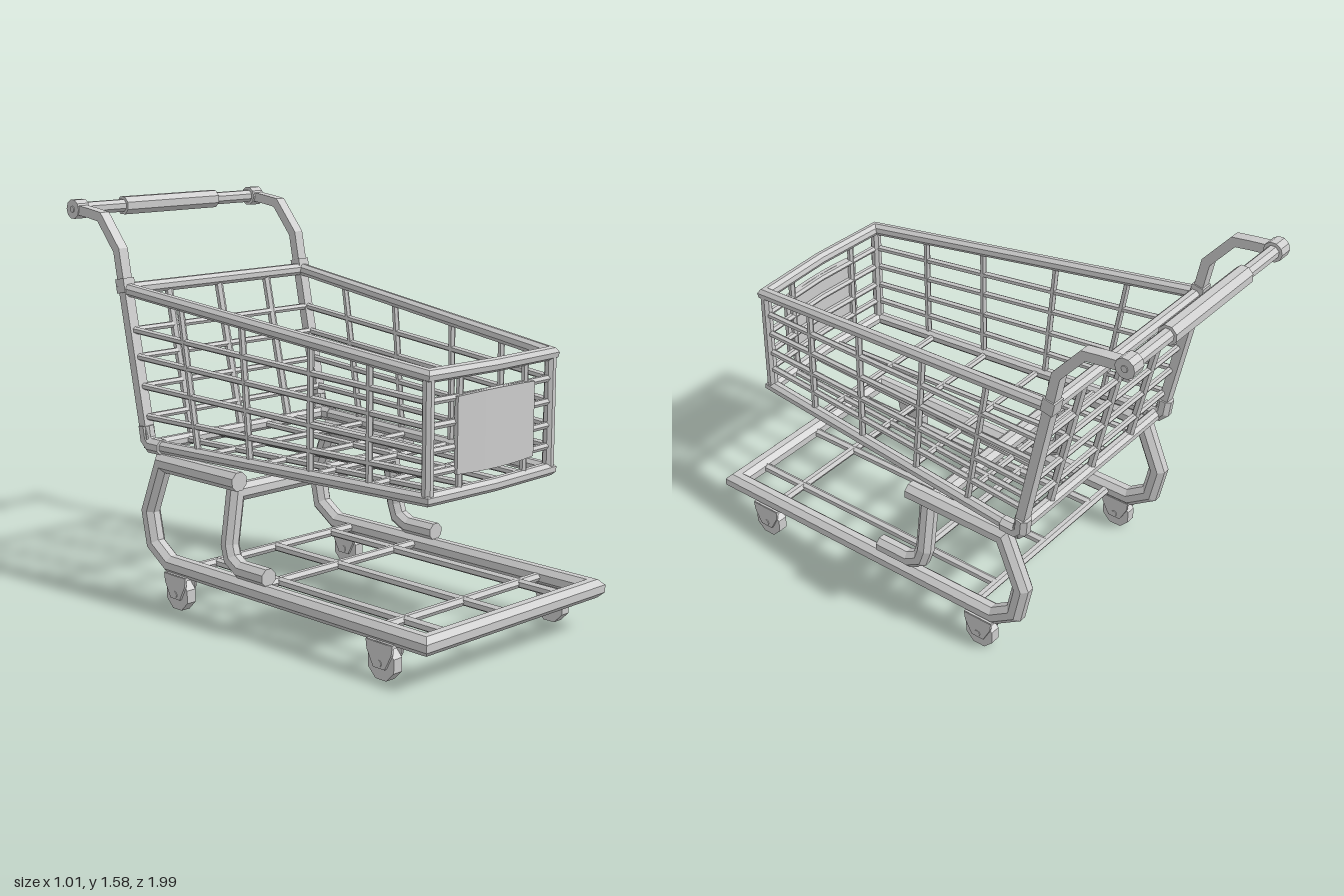
import * as THREE from 'three';

const grey = new THREE.MeshStandardMaterial({ color: 0xcccccc, flatShading: true });
const V = (p) => new THREE.Vector3(...p);
const mirror = (p) => [-p[0], p[1], p[2]];
const lerp = (a, b, t) => a.map((v, i) => v + (b[i] - v) * t);

// Faceted bar swept along a polyline with mitred corners
function sweep(points, rx, ry = rx, sides = 8) {
  const P = points.map(V);
  const dirs = P.slice(1).map((p, i) => p.clone().sub(P[i]).normalize());
  const d0 = dirs[0];
  const ref = Math.abs(d0.x) > 0.9 ? new THREE.Vector3(0, 1, 0) : new THREE.Vector3(1, 0, 0);
  const u = ref.addScaledVector(d0, -ref.dot(d0)).normalize();
  const v = d0.clone().cross(u);
  let ring = [];
  for (let j = 0; j < sides; j++) {
    const a = ((j + 0.5) / sides) * Math.PI * 2, k = 1 / Math.cos(Math.PI / sides);
    ring.push(P[0].clone().addScaledVector(u, Math.cos(a) * rx * k).addScaledVector(v, Math.sin(a) * ry * k));
  }
  const pos = [], index = [];
  const add = (r) => r.forEach((p) => pos.push(p.x, p.y, p.z));
  add(ring);
  for (let i = 1; i < P.length; i++) {
    const d = dirs[i - 1];
    const t = d.clone().add(dirs[i] || d).normalize();
    ring = ring.map((p) => p.clone().addScaledVector(d, P[i].clone().sub(p).dot(t) / d.dot(t)));
    add(ring);
    for (let j = 0; j < sides; j++) {
      const a = (i - 1) * sides + j, b = (i - 1) * sides + ((j + 1) % sides);
      index.push(a, b, b + sides, a, b + sides, a + sides);
    }
  }
  const last = (P.length - 1) * sides;
  for (let j = 1; j < sides - 1; j++) {
    index.push(0, j + 1, j, last, last + j, last + j + 1);
  }
  const g = new THREE.BufferGeometry();
  g.setAttribute('position', new THREE.Float32BufferAttribute(pos, 3));
  g.setIndex(index);
  g.computeVertexNormals();
  return g;
}

export function createModel() {
  const cart = new THREE.Group();
  const add = (name, geometry, parent = cart) => {
    const m = new THREE.Mesh(geometry, grey);
    m.name = name;
    parent.add(m);
    return m;
  };
  const bar = (name, pts, rx, ry, sides) => add(name, sweep(pts, rx, ry, sides));
  const wire = (name, ...pts) => bar(name, pts, 0.012, 0.012, 6);
  // Path on the left side continued by its mirror image
  const both = (pts) => [...pts, ...pts.map(mirror).reverse()];

  // Lower frame: curls up at the back to carry the basket
  const X = 0.465;
  bar('baseFrame', both([
    [X, 0.577, 0], [X, 0.577, -0.45], [X, 0.37, -0.537], [X, 0.235, -0.508],
    [X, 0.17, -0.41], [X, 0.17, 0.96],
  ]), 0.036);
  for (const z of [-0.305, 0.06, 0.72]) bar('baseCrossBar', [[-X, 0.17, z], [X, 0.17, z]], 0.016, 0.016, 6);
  for (const x of [-0.32, 0, 0.32]) bar('baseLongBar', [[x, 0.17, -0.305], [x, 0.17, 0.95]], 0.016, 0.016, 6);

  // Inner arch supporting the basket
  bar('supportArch', both([
    [X, 0.235, 0.16], [X, 0.235, 0.01], [0.462, 0.265, -0.045], [0.46, 0.32, -0.063], [0.43, 0.52, -0.063],
  ]), 0.034);

  // Casters
  const fork = new THREE.Shape([
    [-0.065, 0.14], [-0.06, 0.105], [-0.028, 0.045], [0.028, 0.045], [0.06, 0.105], [0.065, 0.14],
  ].map((p) => new THREE.Vector2(...p)));
  for (const x of [-0.47, 0.47]) for (const z of [-0.35, 0.77]) {
    const caster = new THREE.Group();
    caster.name = 'caster';
    caster.position.set(x, 0, z);
    cart.add(caster);
    const wheel = new THREE.CylinderGeometry(0.068, 0.068, 0.042, 8).rotateY(Math.PI / 8).rotateZ(Math.PI / 2);
    add('wheel', wheel, caster).position.y = 0.063;
    for (const s of [-1, 1]) {
      const plate = new THREE.ExtrudeGeometry(fork, { depth: 0.01, bevelEnabled: false });
      plate.translate(0, 0, -0.005).rotateY(Math.PI / 2);
      add('forkPlate', plate, caster).position.x = s * 0.027;
    }
    add('forkTop', new THREE.BoxGeometry(0.06, 0.012, 0.13), caster).position.y = 0.137;
    add('axle', new THREE.CylinderGeometry(0.014, 0.014, 0.07, 8).rotateZ(Math.PI / 2), caster).position.y = 0.063;
  }

  // Basket corners (left side): front/back, bottom/top
  const FB = [0.333, 0.638, 0.838], FT = [0.333, 1.077, 0.838];
  const BB = [0.47, 0.638, -0.51], BT = [0.475, 1.248, -0.648];
  const bowed = (y, z) => [0, y, z + 0.015];
  const rim = (name, b, f) => bar(name, [
    [0, b[1], b[2]], b, f, bowed(f[1], f[2]), mirror(f), mirror(b), [0, b[1], b[2]],
  ], 0.024);
  rim('bottomRim', BB, FB);
  rim('topRim', BT, FT);

  // Side walls, posts and handle arms
  const frontY = [0.728, 0.808, 0.897, 0.985], backY = [0.75, 0.87, 0.985, 1.09];
  const frontAt = (y) => lerp(FB, FT, (y - FB[1]) / (FT[1] - FB[1]));
  const backAt = (y) => lerp(BB, BT, (y - BB[1]) / (BT[1] - BB[1]));
  const along = (b, f, z) => lerp(b, f, (z - b[2]) / (f[2] - b[2]));
  const uprights = [[0.58, 0.58], [0.305, 0.305], [0.01, -0.035], [-0.26, -0.355]];
  for (const side of [(p) => p, mirror]) {
    bar('frontPost', [FB, FT].map(side), 0.021);
    bar('handleArm', [
      [0.475, 0.66, -0.53], [0.475, 1.26, -0.655], [0.475, 1.4, -0.683], [0.475, 1.525, -0.79],
      [0.475, 1.535, -0.86], [0.475, 1.545, -0.955],
    ].map(side), 0.022, 0.019, 4);
    bar('postSleeve', [[0.475, 1.235, -0.65], [0.475, 1.29, -0.661]].map(side), 0.027, 0.026, 4);
    bar('cornerElbow', [
      [0.468, 0.638, -0.45], [0.47, 0.638, -0.515], [0.472, 0.66, -0.537], [0.475, 0.715, -0.543],
    ].map(side), 0.03);
    frontY.forEach((y, i) => wire('sideWire', side(frontAt(y)), side(backAt(backY[i]))));
    for (const [zb, zt] of uprights) wire('sideUpright', side(along(BB, FB, zb)), side(along(BT, FT, zt)));
    // Grip end cap
    const cap = add('handleCap', new THREE.CylinderGeometry(0.04, 0.04, 0.056, 10).rotateZ(Math.PI / 2));
    cap.position.set(...side([0.473, 1.545, -0.957]));
    const bolt = add('capBolt', new THREE.CylinderGeometry(0.013, 0.013, 0.006, 8).rotateZ(Math.PI / 2));
    bolt.position.set(...side([0.502, 1.545, -0.957]));
  }

  // Front and back wires
  for (const y of frontY) {
    const p = frontAt(y);
    wire('frontWire', p, bowed(y, p[2]), mirror(p));
  }
  for (const x of [-0.178, 0.178]) wire('frontUpright', [x, FB[1], 0.845], [x, FT[1], 0.845]);
  for (const y of backY) wire('backWire', backAt(y), mirror(backAt(y)));
  for (const x of [-0.265, 0, 0.265]) {
    bar('backUpright', [[x, BB[1], BB[2]], [x, BT[1], BT[2]]], 0.015, 0.015, 6);
  }

  // Floor wires
  for (const z of [-0.23, 0.04, 0.29, 0.55]) {
    const p = along(BB, FB, z);
    wire('floorCrossWire', p, mirror(p));
  }
  for (const [b, f] of [[0.3, 0.2], [0.13, 0.066]]) for (const s of [-1, 1]) {
    wire('floorLongWire', [s * b, BB[1], BB[2]], [s * f, FB[1], FB[2]]);
  }

  // Front panel, slightly bowed
  const panel = new THREE.BoxGeometry(0.42, 0.28, 0.016, 6, 1, 1);
  const pp = panel.attributes.position;
  for (let i = 0; i < pp.count; i++) {
    const k = 1 - (pp.getX(i) / 0.21) ** 2;
    pp.setZ(i, pp.getZ(i) + 0.01 * k);
    pp.setY(i, pp.getY(i) * (1 + 0.04 * k));
  }
  panel.computeVertexNormals();
  add('frontPanel', panel).position.set(0, 0.852, 0.858);

  // Push handle
  bar('handleBar', [[-0.46, 1.545, -0.957], [0.46, 1.545, -0.957]], 0.025);
  bar('handleGrip', [[-0.247, 1.545, -0.957], [0.247, 1.545, -0.957]], 0.036);

  return cart;
}
